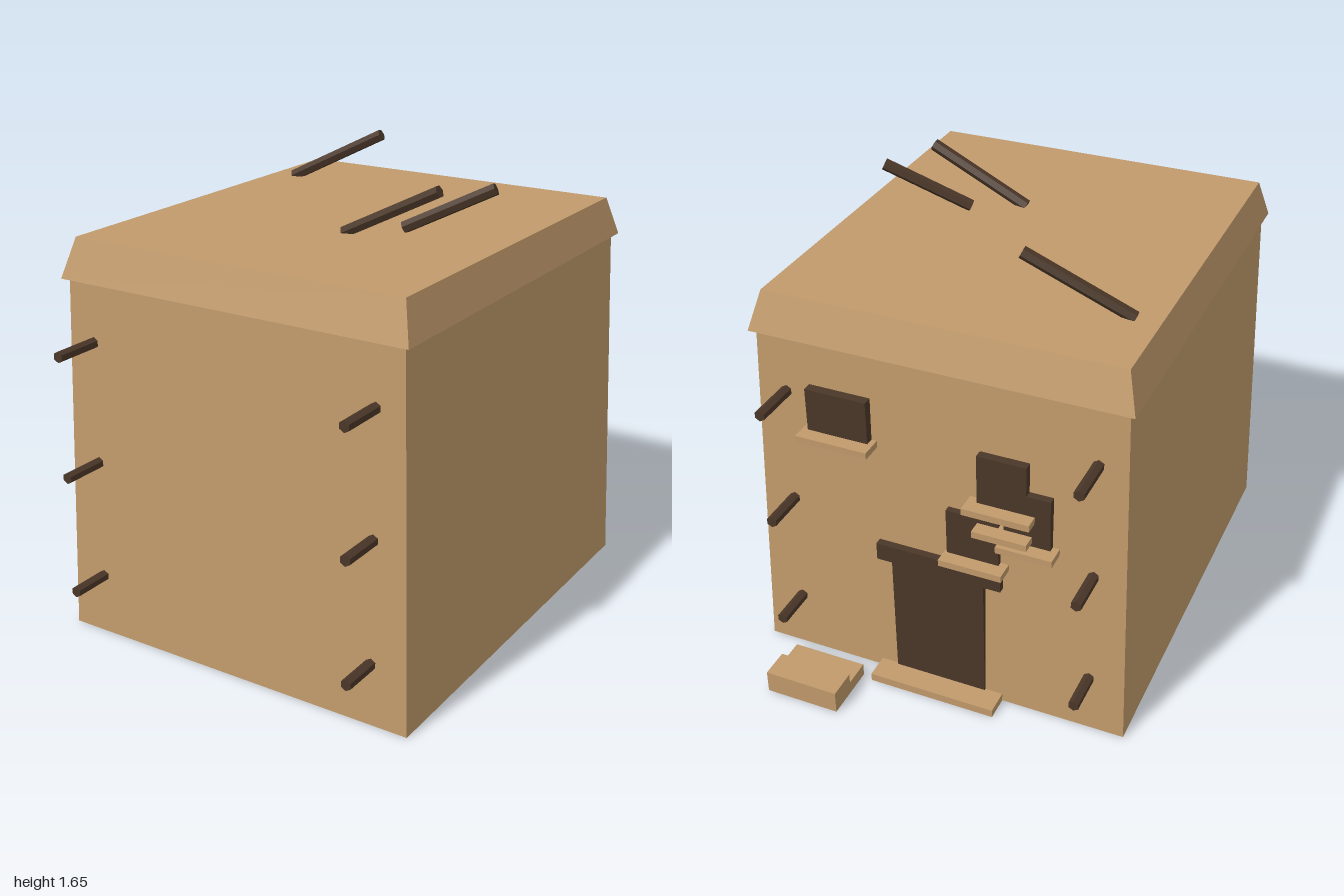
import * as THREE from 'three';

const clay = new THREE.MeshStandardMaterial({ color: 0xc19a6b });
clay.name = 'clay';
const darkWood = new THREE.MeshStandardMaterial({ color: 0x4a3728 });
darkWood.name = 'dark wood';

const CENTRE_Z = 0.07;

export function createModel() {
  const group = new THREE.Group();
  group.name = 'adobeHouse';

  const add = (name, geometry, material) => {
    const mesh = new THREE.Mesh(geometry, material);
    mesh.name = name;
    group.add(mesh);
    return mesh;
  };

  // Box given by its limits on each axis
  const block = (name, [x0, x1], [y0, y1], [z0, z1], material) => {
    const mesh = add(name, new THREE.BoxGeometry(x1 - x0, y1 - y0, z1 - z0), material);
    mesh.position.set((x0 + x1) / 2, (y0 + y1) / 2, (z0 + z1) / 2);
  };

  // Box whose top is narrower than its bottom (half widths and half depths)
  const taperedBlock = (name, y0, y1, bottom, top) => {
    const geometry = new THREE.BoxGeometry(2, y1 - y0, 2);
    const p = geometry.attributes.position;
    for (let i = 0; i < p.count; i++) {
      const [hx, hz] = p.getY(i) > 0 ? top : bottom;
      p.setX(i, p.getX(i) * hx);
      p.setZ(i, p.getZ(i) * hz);
    }
    geometry.computeVertexNormals();
    add(name, geometry, clay).position.set(0, (y0 + y1) / 2, CENTRE_Z);
  };

  // Six-sided pole between two points
  const pole = (name, from, to, radius) => {
    const a = new THREE.Vector3(...from);
    const b = new THREE.Vector3(...to);
    const geometry = new THREE.CylinderGeometry(radius, radius, a.distanceTo(b), 6).toNonIndexed();
    geometry.computeVertexNormals();
    const mesh = add(name, geometry, darkWood);
    mesh.position.copy(a).add(b).multiplyScalar(0.5);
    mesh.quaternion.setFromUnitVectors(new THREE.Vector3(0, 1, 0), b.sub(a).normalize());
  };

  // Walls and overhanging roof
  taperedBlock('walls', 0, 1.31, [0.695, 0.79], [0.654, 0.75]);
  taperedBlock('roof', 1.3, 1.44, [0.675, 0.77], [0.638, 0.725]);

  // Beams running through the house and out of both ends
  for (const x of [-0.56, 0.555]) {
    for (const y of [0.222, 0.655, 1.09]) pole('beam', [x, y, -0.86], [x, y, 1], 0.02);
  }

  // Poles sticking out of the roof
  pole('roofPole', [-0.55, 1.44, -0.355], [-0.185, 1.627, -0.413], 0.022);
  pole('roofPole', [0.085, 1.44, 0.268], [0.445, 1.622, 0.26], 0.022);
  pole('roofPole', [0.255, 1.455, 0.162], [0.55, 1.605, 0.068], 0.022);

  // Door with lintel and doorstep on the back
  block('door', [-0.175, 0.17], [0.004, 0.53], [-0.726, -0.65], darkWood);
  block('lintel', [-0.24, 0.225], [0.505, 0.572], [-0.73, -0.65], darkWood);
  block('doorstep', [-0.24, 0.235], [0, 0.03], [-0.81, -0.715], clay);

  // Windows: x limits, y limits
  const windows = [
    [[0.24, 0.465], [0.975, 1.135]],
    [[-0.33, -0.155], [0.84, 1.035]],
    [[-0.415, -0.25], [0.725, 0.925]],
    [[-0.23, -0.04], [0.605, 0.785]],
  ];
  for (const [x, y] of windows) block('window', x, y, [-0.72, -0.64], darkWood);

  // Sills and ledges: x limits, centre height
  const sills = [
    [[0.22, 0.485], 0.963],
    [[-0.36, -0.12], 0.838],
    [[-0.35, -0.155], 0.755],
    [[-0.44, -0.24], 0.717],
    [[-0.26, -0.03], 0.597],
  ];
  for (const [x, y] of sills) block('sill', x, [y - 0.0125, y + 0.0125], [-0.77, -0.69], clay);

  // Low two-level step standing beside the door
  block('lowStep', [0.275, 0.55], [0, 0.047], [-0.895, -0.795], clay);
  block('highStep', [0.275, 0.55], [0, 0.085], [-1, -0.895], clay);

  return group;
}
